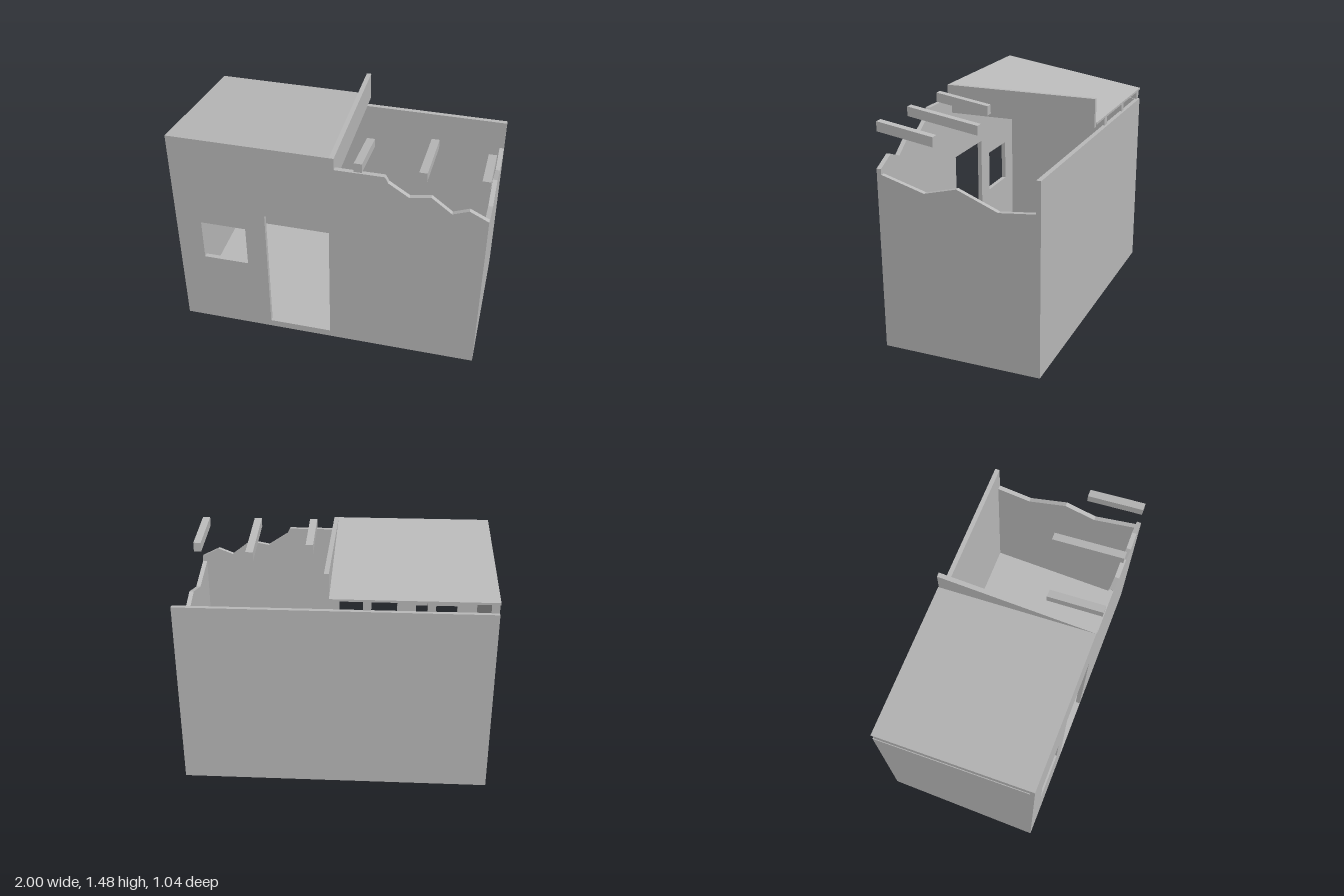
import * as THREE from 'three';

const H = 0.52;      // half depth of the house
const T = 0.03;      // wall thickness
const SLOPE = 0.154; // fall of the roof towards the back

const shapeOf = pts => new THREE.Shape(pts.map(p => new THREE.Vector2(...p)));

export function createModel() {
  const house = new THREE.Group();
  house.name = 'ruinedHouse';
  const plaster = new THREE.MeshStandardMaterial({ color: 0xbbbbbb });
  plaster.name = 'grey plaster';

  const add = (name, geometry) => {
    const mesh = new THREE.Mesh(geometry, plaster);
    mesh.name = name;
    house.add(mesh);
    return mesh;
  };
  const box = (name, x0, x1, y0, y1, z0, z1) =>
    add(name, new THREE.BoxGeometry(x1 - x0, y1 - y0, z1 - z0))
      .position.set((x0 + x1) / 2, (y0 + y1) / 2, (z0 + z1) / 2);
  // Side profile of (z, y) points, extruded from x0 to x1
  const sidePanel = (name, pts, x0, x1) => {
    const g = new THREE.ExtrudeGeometry(shapeOf(pts), { depth: x1 - x0, bevelEnabled: false });
    g.rotateY(-Math.PI / 2).translate(x1, 0, 0);
    add(name, g);
  };
  // Height on a plane parallel to the roof, h being its height at the front
  const fall = (z, h) => h - (H - z) * SLOPE;
  const slab = (z0, z1, top, bottom) =>
    [[z0, fall(z0, bottom)], [z1, fall(z1, bottom)], [z1, fall(z1, top)], [z0, fall(z0, top)]];

  // Front wall with broken top edge, door and window openings
  const front = shapeOf([
    [-1, 0], [1, 0], [1, 1.18], [0.88, 1.24], [0.78, 1.2], [0.65, 1.3], [0.52, 1.275],
    [0.39, 1.36], [0.37, 1.4], [0.06, 1.4], [0.06, 1.474], [-1, 1.474],
  ]);
  const opening = (x0, x1, y0, y1) =>
    front.holes.push(new THREE.Path([[x0, y0], [x0, y1], [x1, y1], [x1, y0]]
      .map(p => new THREE.Vector2(...p))));
  opening(-0.395, 0.025, 0.05, 0.965);
  opening(-0.83, -0.53, 0.545, 0.835);
  const frontGeo = new THREE.ExtrudeGeometry(front, { depth: T, bevelEnabled: false });
  add('frontWall', frontGeo.translate(0, 0, H - T));

  // Remaining walls and floor
  box('floor', -1, 1, 0, 0.05, -H, H - T);
  box('backWall', -1, 1, 0, 1.24, -H, -H + T);
  sidePanel('rightHandWall', [
    [-H + T, 0], [H - T, 0], [H - T, fall(H - T, 1.395)], [-H + T, fall(-H + T, 1.395)],
  ], -1, -1 + T);
  sidePanel('brokenSideWall', [
    [-H + T, 0], [H - T, 0], [H - T, 1.145], [0.21, 1.065], [0, 1.12], [-0.26, 1.015], [-H + T, 1.04],
  ], 1 - T, 1);

  // Roof and the level parapet at its broken end
  sidePanel('roof', slab(-H, H, 1.48, 1.466), -1, 0.03);
  box('parapet', 0.03, 0.06, 1.29, 1.48, -0.515, H);

  // Roof beams: whole under the roof, snapped off in the open part
  const beams = [[-0.972, -0.51], [-0.59, -0.51], [-0.2, -0.51], [0.205, 0.15], [0.593, 0.04], [0.958, 0.15]];
  for (const [x, back] of beams) {
    sidePanel('roofBeam', slab(back, 0.515, 1.466, 1.405), x - 0.025, x + 0.025);
  }
  return house;
}
